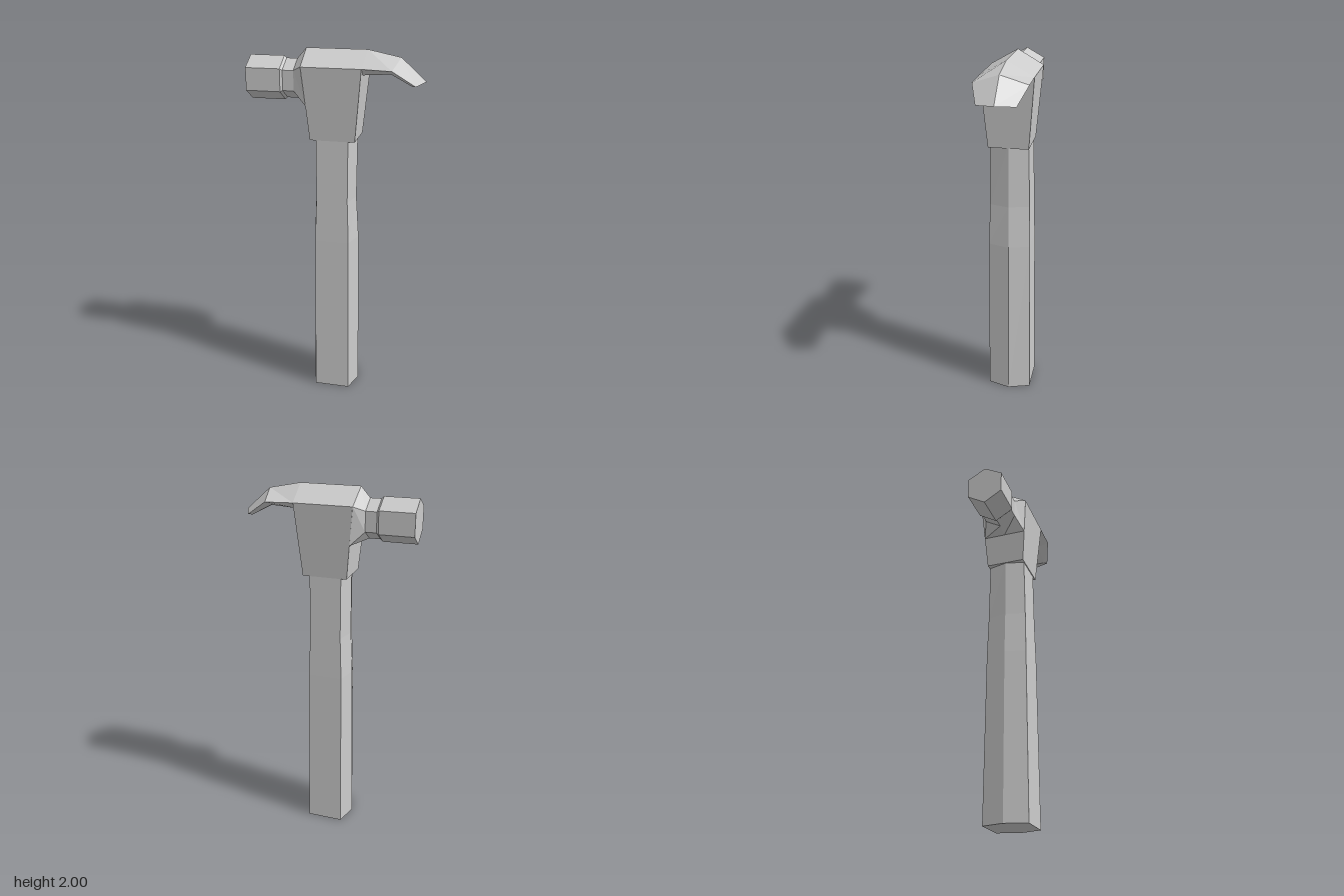
import * as THREE from 'three';

const material = new THREE.MeshStandardMaterial({ color: 0xcccccc, flatShading: true });

// Skins a list of matching rings, each counter-clockwise about the loft direction, and caps both ends
function loft(name, rings) {
  const n = rings[0].length;
  const index = [];
  for (let r = 0; r < rings.length - 1; r++) {
    for (let j = 0; j < n; j++) {
      const a = r * n + j, b = r * n + (j + 1) % n;
      index.push(a, b, b + n, a, b + n, a + n);
    }
  }
  const end = (rings.length - 1) * n;
  for (let j = 1; j < n - 1; j++) {
    index.push(0, j + 1, j, end, end + j, end + j + 1);
  }
  const indexed = new THREE.BufferGeometry();
  indexed.setAttribute('position', new THREE.Float32BufferAttribute(rings.flat(2), 3));
  indexed.setIndex(index);
  const geometry = indexed.toNonIndexed();
  geometry.computeVertexNormals();
  const mesh = new THREE.Mesh(geometry, material);
  mesh.name = name;
  return mesh;
}

// Six-sided grip section: flat front and back, pointed sides
const gripRing = (y, left, flatLeft, flatRight, right, z) => [
  [flatLeft, y, z], [flatRight, y, z], [right, y, 0],
  [flatRight, y, -z], [flatLeft, y, -z], [left, y, 0],
];

const boxRing = (y, x0, x1, z) => [[x0, y, z], [x1, y, z], [x1, y, -z], [x0, y, -z]];

// Six-sided striking section with its points at top and bottom
const pollRing = (x, top, upper, lower, bottom, z) => [
  [x, top, 0], [x, upper, z], [x, lower, z],
  [x, bottom, 0], [x, lower, -z], [x, upper, -z],
];

// Roof-shaped section: ridge, side edges and a narrower underside
const clawRing = ([rx, ry], [ex, ey, ez], [bx, by, bz]) => [
  [rx, ry, 0], [ex, ey, ez], [bx, by, bz], [bx, by, -bz], [ex, ey, -ez],
];

export function createModel() {
  const group = new THREE.Group();
  group.name = 'hammer';

  group.add(loft('handle', [
    gripRing(0, -0.14, -0.105, 0.097, 0.135, 0.125),
    gripRing(0.95, -0.13, -0.1, 0.09, 0.126, 0.116),
    gripRing(1.19, -0.12, -0.092, 0.082, 0.112, 0.111),
    gripRing(1.55, -0.12, -0.092, 0.083, 0.116, 0.105),
  ]));

  // Tapered socket between handle and head
  group.add(loft('socket', [
    boxRing(1.53, -0.125, 0.12, 0.11),
    boxRing(1.92, -0.162, 0.157, 0.142),
  ]));

  // Striking face, neck and flare into the socket
  group.add(loft('poll', [
    pollRing(-0.475, 1.955, 1.9, 1.78, 1.72, 0.1),
    pollRing(-0.287, 1.955, 1.9, 1.78, 1.72, 0.1),
    pollRing(-0.275, 1.943, 1.892, 1.785, 1.732, 0.09),
    pollRing(-0.215, 1.943, 1.892, 1.785, 1.732, 0.09),
    [
      [-0.165, 2, 0], [-0.163, 1.92, 0.142], [-0.142, 1.715, 0.125],
      [-0.142, 1.715, 0], [-0.142, 1.715, -0.125], [-0.163, 1.92, -0.142],
    ],
  ]));

  // Ridged head top running into the bent claw
  group.add(loft('claw', [
    clawRing([-0.165, 2], [-0.163, 1.92, 0.142], [-0.15, 1.88, 0.08]),
    clawRing([0.165, 2], [0.157, 1.92, 0.142], [0.152, 1.88, 0.08]),
    clawRing([0.34, 1.965], [0.312, 1.915, 0.142], [0.3, 1.89, 0.08]),
    clawRing([0.475, 1.845], [0.43, 1.835, 0.1], [0.41, 1.832, 0.08]),
  ]));

  return group;
}
